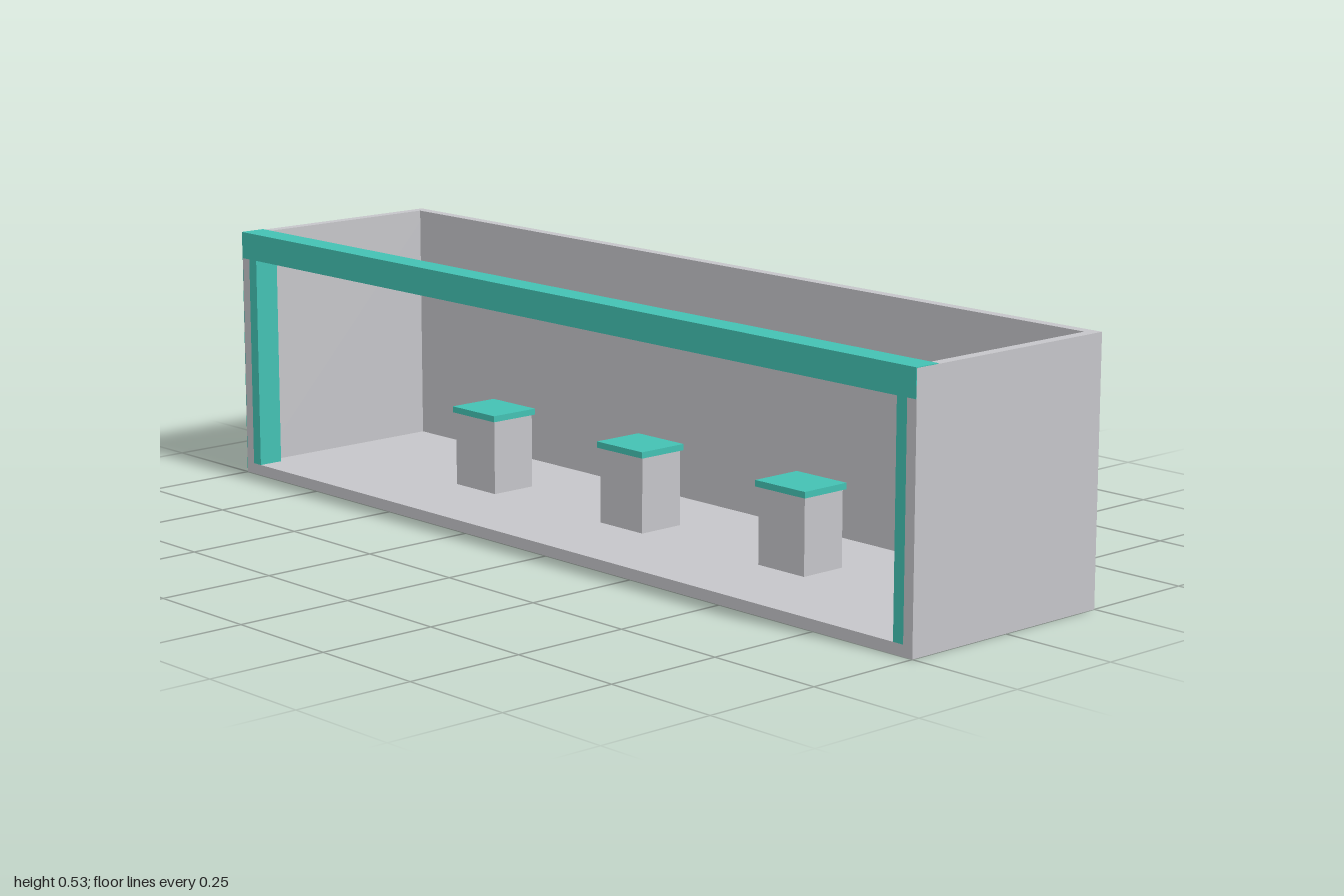
import * as THREE from 'three';

export function createModel() {
  const model = new THREE.Group();
  const grey = new THREE.MeshStandardMaterial({ color: 0xc5c5c9 });
  grey.name = 'light grey';
  const teal = new THREE.MeshStandardMaterial({ color: 0x43c1b3 });
  teal.name = 'teal';

  // Box given by its minimum and maximum corners
  function box(name, material, [x0, y0, z0], [x1, y1, z1], parent = model) {
    const mesh = new THREE.Mesh(new THREE.BoxGeometry(x1 - x0, y1 - y0, z1 - z0), material);
    mesh.position.set((x0 + x1) / 2, (y0 + y1) / 2, (z0 + z1) / 2);
    mesh.name = name;
    parent.add(mesh);
    return mesh;
  }

  const H = 0.533, D = 0.25, T = 0.023;

  // Open-topped, open-fronted shell
  box('floor', grey, [-1 + T, 0, -D + T], [1 - T, T, D]);
  box('backWall', grey, [-1 + T, 0, -D], [1 - T, H, -D + T]);
  box('leftWall', grey, [1 - T, 0, -D], [1, H, D]);
  box('rightWall', grey, [-1, 0, -D], [-1 + T, H, D]);

  // Trim around the front opening
  box('frontBeam', teal, [-0.9995, 0.477, 0.195], [0.9995, H + 0.0015, D + 0.0015]);
  box('leftPost', teal, [0.952, T, 0.195], [1 - T, 0.477, D]);
  box('rightPost', teal, [-1 + T, T, 0.195], [-0.952, 0.477, D]);
  box('rightSideTrim', teal, [-1.001, 0, 0.195], [-1, H, D]);

  // Three pedestals with flat caps
  for (const x of [-0.461, 0, 0.461]) {
    const pedestal = new THREE.Group();
    pedestal.name = 'pedestal';
    pedestal.position.set(x, 0, -0.005);
    box('pedestalColumn', grey, [-0.063, T, -0.052], [0.063, 0.18, 0.052], pedestal);
    box('pedestalCap', teal, [-0.068, 0.18, -0.057], [0.068, 0.193, 0.057], pedestal);
    model.add(pedestal);
  }
  return model;
}
